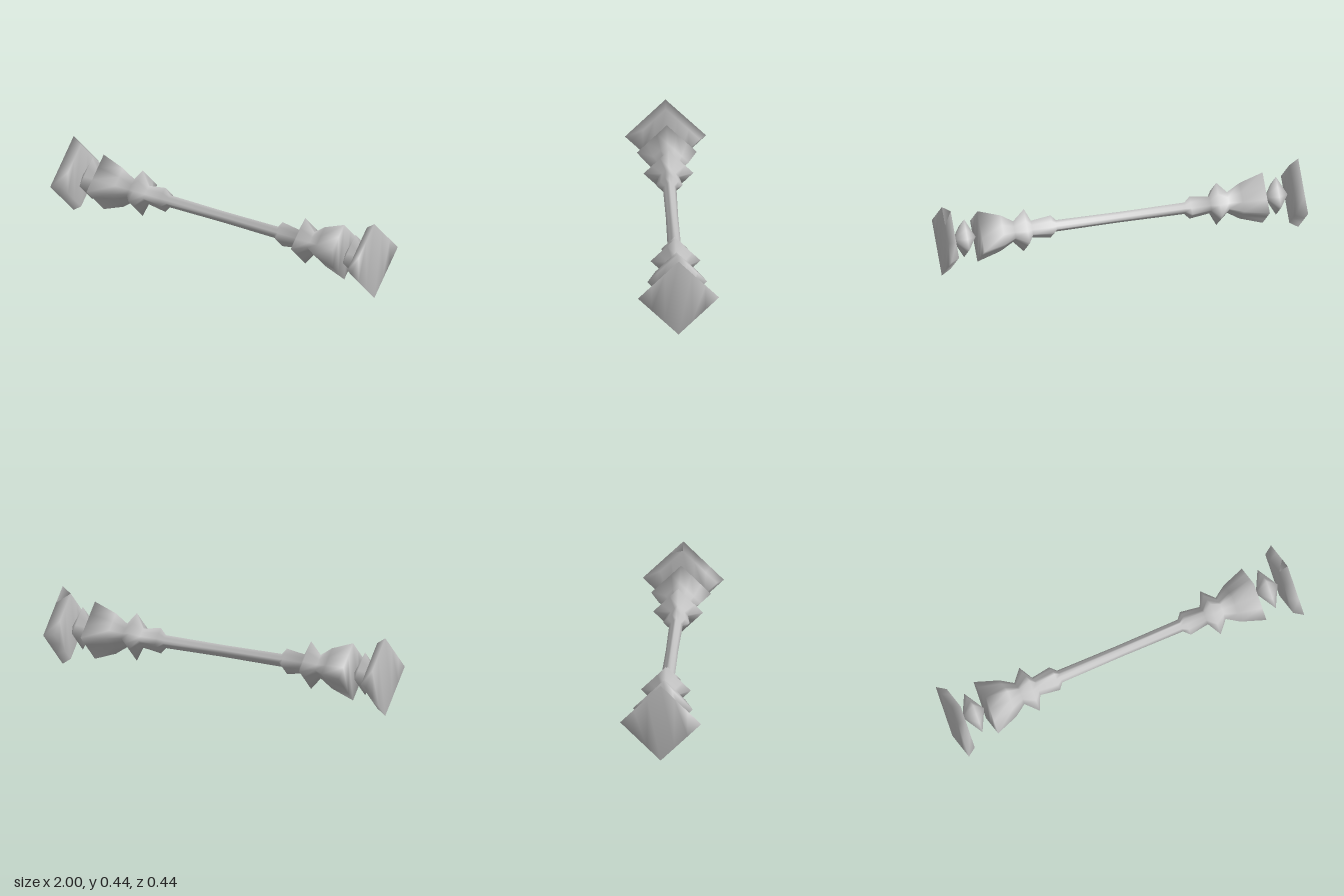
import * as THREE from 'three';
import { mergeVertices } from 'three/addons/utils/BufferGeometryUtils.js';

const AXIS_HEIGHT = 0.221;
const SIDES = 12;

// Diamond outline as [y, z]: each side is cut in thirds, starting at the +z corner
const corners = [[0, 1], [-1, 0], [0, -1], [1, 0]];
const outline = [];
corners.forEach(([y, z], c) => {
  const [ny, nz] = corners[(c + 1) % 4];
  for (let k = 0; k < 3; k++) outline.push([y + (ny - y) * k / 3, z + (nz - z) * k / 3]);
});

// Closed body of diamond sections along x, smoothed over sides and ends alike
function diamondBody(profile) {
  const positions = [];
  const index = [];
  for (const [x, r] of profile) {
    for (const [y, z] of outline) positions.push(x, y * r, z * r);
  }
  for (let j = 0; j < profile.length - 1; j++) {
    for (let i = 0; i < SIDES; i++) {
      const a = j * SIDES + i;
      const b = j * SIDES + (i + 1) % SIDES;
      index.push(a, b, a + SIDES, b, b + SIDES, a + SIDES);
    }
  }
  // End faces in strips from the +z corner to the -z corner
  const last = (profile.length - 1) * SIDES;
  for (let i = 0; i < SIDES / 2; i++) {
    const p = i, q = i + 1, s = SIDES - 1 - i, t = (SIDES - i) % SIDES;
    index.push(last + p, last + q, last + s, last + p, last + s, last + t);
    index.push(p, s, q, p, t, s);
  }
  const geometry = new THREE.BufferGeometry();
  geometry.setAttribute('position', new THREE.Float32BufferAttribute(positions, 3));
  geometry.setIndex(index);
  const merged = mergeVertices(geometry);
  merged.computeVertexNormals();
  return merged;
}

export function createModel() {
  const grey = new THREE.MeshStandardMaterial({ color: 0xc0c0c0 });
  grey.name = 'stone grey';
  const group = new THREE.Group();
  group.name = 'doubleEndedStaff';

  function add(name, profile) {
    const mesh = new THREE.Mesh(diamondBody(profile), grey);
    mesh.name = name;
    mesh.position.y = AXIS_HEIGHT;
    group.add(mesh);
  }
  const mirror = (profile) => profile.map(([x, r]) => [-x, r]).reverse();

  // Slim shaft swelling into a collar, a sharp ring and a flared cup
  const half = [
    [0.36, 0.037], [0.39, 0.072], [0.5, 0.055], [0.54, 0.136],
    [0.6, 0.067], [0.67, 0.115], [0.8, 0.163],
  ];
  add('shaft', [...mirror(half), [0, 0.034], ...half]);

  // Floating gem and end plate on each side
  const gem = [[0.81, 0], [0.875, 0.122], [0.94, 0]];
  const plate = [[0.95, 0.186], [1, 0.221]];
  add('leftGem', gem);
  add('rightGem', mirror(gem));
  add('leftEndPlate', plate);
  add('rightEndPlate', mirror(plate));

  return group;
}
